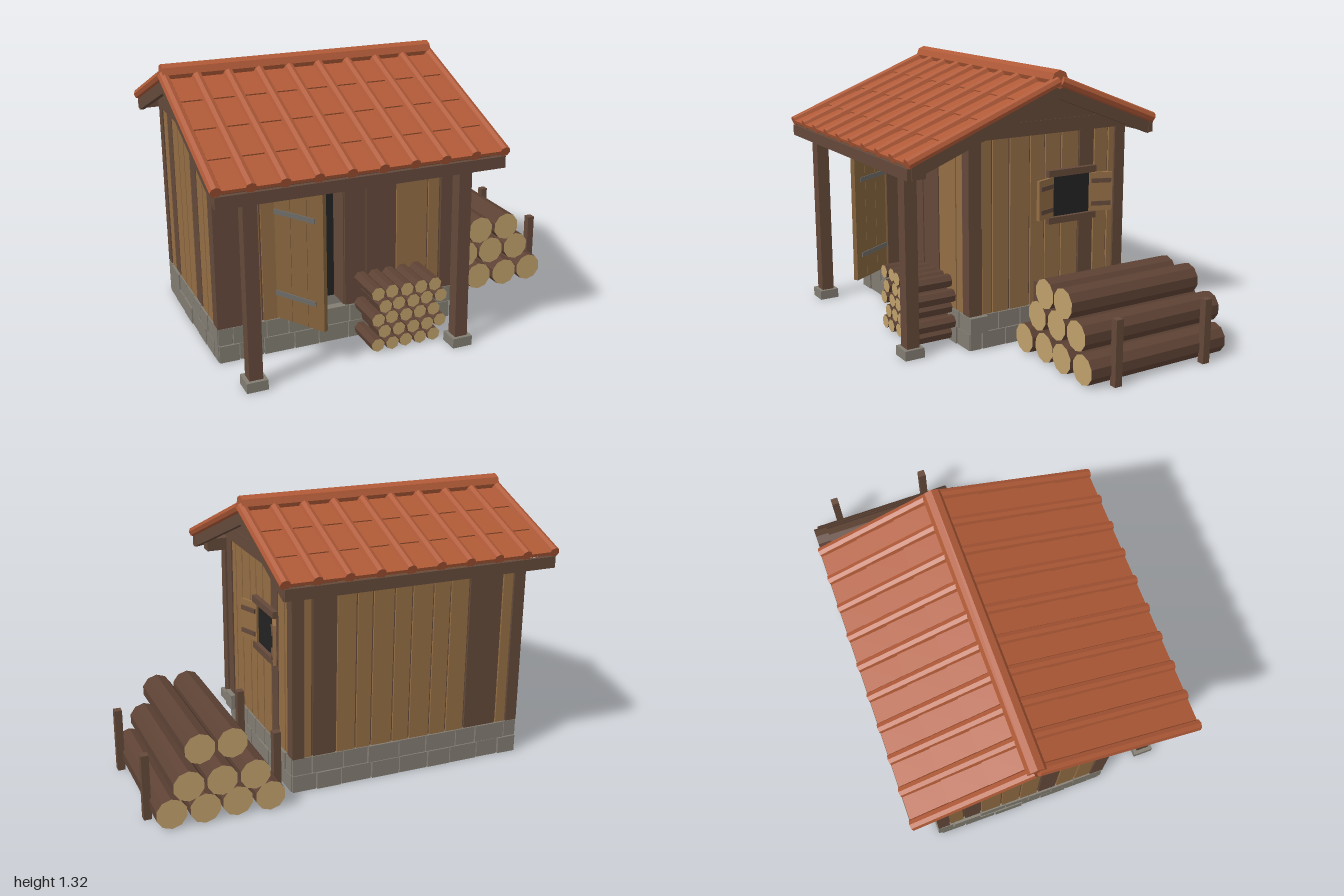
import * as THREE from 'three';

const mat = (name, color) => {
  const m = new THREE.MeshStandardMaterial({ color });
  m.name = name;
  return m;
};

export function createModel() {
  const tan = mat('tan planks', 0x936d44);
  const doorWood = mat('door wood', 0x83623c);
  const brown = mat('brown timber', 0x64493a);
  const bark = mat('bark', 0x5d4234);
  const cutWood = mat('cut wood', 0xc0a06c);
  const tile = mat('clay tile', 0xb05a37);
  const stone = mat('stone', 0x827d72);
  const mortar = mat('mortar', 0x66635c);
  const iron = mat('iron', 0x6c6a66);
  const dark = mat('dark opening', 0x232323);

  const model = new THREE.Group();
  model.name = 'woodshed';
  let seed = 7;
  const rnd = () => (seed = (seed * 16807) % 2147483647) / 2147483647;

  const group = (name, parent = model) => {
    const g = new THREE.Group();
    g.name = name;
    parent.add(g);
    return g;
  };
  // box given by its minimum and maximum on each axis
  const box = (name, m, x0, x1, y0, y1, z0, z1, parent = model) => {
    const b = new THREE.Mesh(new THREE.BoxGeometry(x1 - x0, y1 - y0, z1 - z0), m);
    b.position.set((x0 + x1) / 2, (y0 + y1) / 2, (z0 + z1) / 2);
    b.name = name;
    parent.add(b);
    return b;
  };
  // shape drawn in (z, y), extruded along x
  const sideShape = (name, m, pts, x0, x1, parent = model) => {
    const s = new THREE.Shape(pts.map(([z, y]) => new THREE.Vector2(-z, y)));
    const g = new THREE.ExtrudeGeometry(s, { depth: x1 - x0, bevelEnabled: false });
    g.rotateY(Math.PI / 2);
    const e = new THREE.Mesh(g, m);
    e.position.x = x0;
    e.name = name;
    parent.add(e);
  };

  // foundation: solid core with two courses of blocks all round
  const base = group('foundation');
  box('foundationCore', mortar, -0.885, 0.285, 0, 0.168, -0.545, 0.325, base);
  const course = (from, to, place) => {
    for (let row = 0; row < 2; row++) {
      let a = from;
      while (a < to - 0.01) {
        let b = a + 0.1 + rnd() * 0.07;
        if (row && a === from) b = a + 0.07;
        if (to - b < 0.06) b = to;
        place(a + 0.003, b - 0.003, row * 0.087, row * 0.087 + 0.083, rnd() * 0.008);
        a = b;
      }
    }
  };
  course(-0.9, 0.3, (a, b, y0, y1, d) => {
    box('stoneBlock', stone, a, b, y0, y1, 0.3, 0.338 + d, base);
    box('stoneBlock', stone, a, b, y0, y1, -0.558 - d, -0.52, base);
  });
  course(-0.55, 0.335, (a, b, y0, y1, d) => {
    box('stoneBlock', stone, 0.26, 0.3 + d, y0, y1, a, b, base);
    box('stoneBlock', stone, -0.9 - d, -0.86, y0, y1, a, b, base);
  });
  box('cornerBlock', stone, 0.23, 0.325, 0.09, 0.17, 0.25, 0.345, base);

  // wall cores, leaving a doorway in the front
  const walls = group('walls');
  const Y0 = 0.17, Y1 = 1.03;
  box('wallCore', brown, -0.885, 0.285, Y0, Y1, -0.545, 0.2, walls);
  box('frontCoreLeft', brown, -0.885, -0.6, Y0, Y1, 0.2, 0.325, walls);
  box('frontCoreRight', brown, -0.27, 0.285, Y0, Y1, 0.2, 0.325, walls);
  box('frontCoreTop', brown, -0.6, -0.27, 0.865, Y1, 0.2, 0.335, walls);
  box('doorwayDark', dark, -0.6, -0.27, Y0, 0.865, 0.2, 0.205, walls);

  // planks between seams; listed indices are brown boards
  const planks = (seams, browns, put) => {
    for (let i = 0; i < seams.length - 1; i++)
      put(seams[i] + 0.005, seams[i + 1] - 0.005, browns.includes(i) ? brown : tan);
  };
  const front = (a, b, m) => box('frontPlank', m, a, b, Y0, Y1, 0.32, 0.335, walls);
  planks([-0.77, -0.68, -0.6], [], front);
  planks([-0.27, -0.16, 0, 0.17, 0.235], [0, 1], front);
  planks([-0.84, -0.78, -0.6, -0.5, -0.41, -0.3, -0.21, -0.1, -0.02, 0.08, 0.2, 0.24], [1, 9],
    (a, b, m) => box('backPlank', m, a, b, Y0, Y1, -0.555, -0.54, walls));
  planks([-0.5, -0.46, -0.375, -0.285, -0.18, -0.085, 0, 0.115, 0.21, 0.27], [2],
    (a, b, m) => box('leftPlank', m, 0.28, 0.295, Y0, Y1, a, b, walls));
  planks([-0.5, -0.42, -0.33, -0.22, -0.12, -0.02, 0.08, 0.18, 0.27], [1, 5],
    (a, b, m) => box('rightPlank', m, -0.895, -0.88, Y0, Y1, a, b, walls));

  // corner posts and gables
  for (const [x0, x1, xf] of [[-0.9, -0.84, -0.77], [0.24, 0.3, 0.3]]) {
    box('cornerPost', brown, x0, xf, Y0, Y1, 0.27, 0.34, walls);
    box('cornerPost', brown, x0, x1, Y0, Y1, -0.56, -0.5, walls);
  }
  for (const x of [-0.9, 0.285]) {
    sideShape('gable', brown, [[0.34, 1.012], [0.34, 1.07], [-0.11, 1.245], [-0.56, 1.07], [-0.56, 1.012]], x, x + 0.015, walls);
    box('gableTie', brown, x - 0.003, x + 0.018, 1.012, 1.08, -0.56, 0.34, walls);
  }
  box('doorLintel', brown, -0.68, -0.2, 0.86, 0.91, 0.33, 0.37, walls);

  // open door, hinged on its left edge as seen from the front
  const door = group('door');
  door.position.set(-0.605, 0.185, 0.345);
  door.rotation.y = -Math.atan2(0.23, 0.14);
  for (let i = 0; i < 3; i++)
    box('doorBoard', doorWood, i * 0.092, i * 0.092 + 0.09, 0, 0.66, -0.012, 0.012, door);
  for (const y of [0.115, 0.515])
    box('doorStrap', iron, 0, 0.23, y, y + 0.024, -0.017, 0.017, door);

  // window with two shutters on the left wall
  const win = group('window');
  box('windowPane', dark, 0.29, 0.299, 0.6, 0.8, -0.345, -0.125, win);
  box('windowHead', brown, 0.285, 0.32, 0.8, 0.833, -0.375, -0.095, win);
  box('windowSill', brown, 0.285, 0.32, 0.568, 0.6, -0.375, -0.095, win);
  for (const s of [-1, 1]) {
    const shutter = group('shutter', win);
    shutter.position.set(0.303, 0.6, s > 0 ? -0.125 : -0.345);
    shutter.rotation.y = s * 0.35;
    const [a, b] = s > 0 ? [0, 0.116] : [-0.116, 0];
    box('shutterBoard', tan, -0.008, 0.008, 0.003, 0.197, a, b, shutter);
    for (const y of [0.03, 0.145])
      box('shutterStrap', brown, -0.011, 0.015, y, y + 0.022, a + 0.008, b - 0.008, shutter);
  }

  // porch posts, footings and beam
  const porch = group('porch');
  for (const x of [-0.818, 0.203]) {
    box('postFooting', stone, x - 0.05, x + 0.05, 0, 0.048, 0.555, 0.655, porch);
    box('porchPost', brown, x - 0.032, x + 0.032, 0.048, 0.93, 0.573, 0.637, porch);
  }
  box('porchBeam', brown, -0.93, 0.33, 0.875, 0.94, 0.573, 0.637, porch);

  // roof: one sloped group per side, with tiles and raised ribs
  const roof = group('roof');
  const SL = 0.39, ANG = Math.atan(SL), RZ = -0.11, RY = 1.25;
  const ribX = i => -0.974 + i * 0.1495;
  const slope = (s, len, rows) => {
    const g = group(s > 0 ? 'frontSlope' : 'backSlope', roof);
    g.position.set(0, RY, RZ);
    g.rotation.x = s * ANG;
    const span = (d0, d1) => (s > 0 ? [d0, d1] : [-d1, -d0]);
    box('roofDeck', tile, -0.985, 0.38, 0, 0.014, ...span(0, len - 0.01), g);
    const step = len / rows;
    for (let i = 0; i < 9; i++)
      for (let r = 0; r < rows; r++) {
        const t = box('roofTile', tile, ribX(i), ribX(i + 1), 0.006, 0.022,
          ...span(r * step, Math.min(len, (r + 1) * step + 0.006)), g);
        t.rotation.x = -s * 0.03;
      }
    for (let i = 0; i < 10; i++) {
      const geo = new THREE.CylinderGeometry(0.026, 0.026, len, 8).toNonIndexed();
      geo.computeVertexNormals();
      geo.rotateX(Math.PI / 2);
      const rib = new THREE.Mesh(geo, tile);
      rib.position.set(ribX(i), 0.02, s * len / 2);
      rib.name = 'tileRib';
      g.add(rib);
    }
  };
  slope(1, 0.85, 4);
  slope(-1, 0.595, 3);
  const capGeo = new THREE.CylinderGeometry(0.045, 0.045, 1.36, 8).toNonIndexed();
  capGeo.computeVertexNormals();
  capGeo.rotateZ(Math.PI / 2);
  const cap = new THREE.Mesh(capGeo, tile);
  cap.position.set(-0.303, 1.277, RZ);
  cap.name = 'ridgeCap';
  roof.add(cap);

  // bargeboards at both ends and fascias along the eaves
  const at = (z, drop) => [z, RY - drop - SL * Math.abs(z - RZ)];
  for (const x of [-0.98, 0.35])
    sideShape('bargeboard', brown, [at(0.665, 0), at(RZ, 0), at(-0.65, 0), at(-0.65, 0.065), at(RZ, 0.065), at(0.665, 0.065)], x, x + 0.025, roof);
  box('frontFascia', brown, -0.98, 0.375, 0.885, 0.94, 0.668, 0.69, roof);
  box('backFascia', brown, -0.98, 0.375, 0.98, 1.035, -0.675, -0.653, roof);

  // logs lie along z; bark on the side, cut wood on the ends
  const log = (name, x, y, r, z0, z1, sides, parent) => {
    const geo = new THREE.CylinderGeometry(r, r, z1 - z0, sides);
    geo.rotateX(Math.PI / 2);
    const flat = geo.toNonIndexed();
    flat.computeVertexNormals();
    geo.groups.forEach(q => flat.addGroup(q.start, q.count, q.materialIndex));
    const l = new THREE.Mesh(flat, [bark, cutWood, cutWood]);
    l.position.set(x, y, (z0 + z1) / 2);
    l.name = name;
    parent.add(l);
  };
  const pile = group('logPile');
  const ends = [[0.115, -0.655], [0.1, -0.68], [0.112, -0.6]];
  for (let row = 0; row < 3; row++)
    for (let i = 0; i < 4 - row; i++) {
      const j = rnd() * 0.02;
      log('log', 0.445 + row * 0.077 + i * 0.152, 0.073 + row * 0.131, 0.072,
        ends[row][1] - j + 0.01, ends[row][0] + j - 0.01, 10, pile);
    }
  for (const z of [-0.01, -0.52])
    for (const x of [0.365, 0.98])
      box('pileStake', brown, x - 0.018, x + 0.018, 0, 0.312, z - 0.019, z + 0.019, pile);

  const stack = group('firewoodStack');
  for (let row = 0; row < 5; row++)
    for (let i = 0; i < 5; i++)
      log('firewood', -0.188 + (row % 2) * 0.035 + i * 0.073, 0.038 + row * 0.066, 0.034,
        0.34, 0.54 + rnd() * 0.012, 7, stack);

  return model;
}
